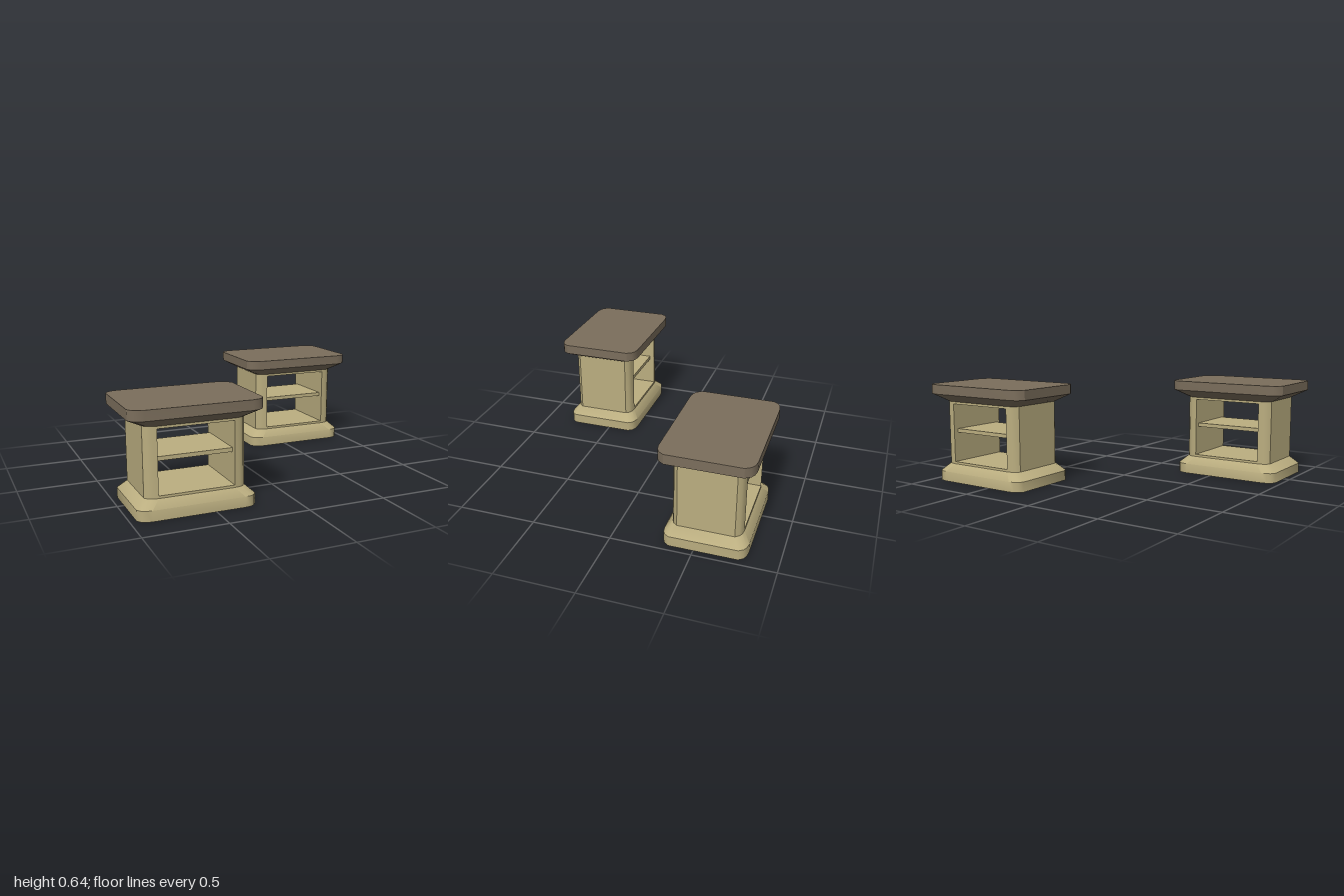
import * as THREE from 'three';
import { toCreasedNormals } from 'three/addons/utils/BufferGeometryUtils.js';

const wood = new THREE.MeshStandardMaterial({ color: 0xbbae80 });
const darkWood = new THREE.MeshStandardMaterial({ color: 0x7b6e5c });

// One rounded corner, as fractions inward from the square corner
const CORNER = [[0, 1], [0.25, 0.4], [0.55, 0.13], [1, 0]];

// Rounded rectangle in x/z, listed from +x toward +z
function outline(hx, hz, cx, cz) {
  const corner = CORNER.map(([u, v]) => [hx - u * cx, hz - v * cz]);
  const back = [...corner].reverse();
  return [
    ...corner,
    ...back.map(([x, z]) => [-x, z]),
    ...corner.map(([x, z]) => [-x, -z]),
    ...back.map(([x, z]) => [x, -z]),
  ];
}

// Solid through stacked outlines; each level is [y, hx, hz, cx, cz]
function loft(levels, crease) {
  const rings = levels.map(([y, ...size]) => outline(...size).map(([x, z]) => [x, y, z]));
  const n = rings[0].length, last = rings.length - 1;
  const pos = [];
  const tri = (a, b, c) => pos.push(...a, ...b, ...c);
  for (let k = 0; k < last; k++) {
    for (let i = 0; i < n; i++) {
      const j = (i + 1) % n, lo = rings[k], hi = rings[k + 1];
      tri(lo[i], hi[i], hi[j]);
      tri(lo[i], hi[j], lo[j]);
    }
  }
  for (let i = 1; i < n - 1; i++) {
    tri(rings[0][0], rings[0][i], rings[0][i + 1]);
    tri(rings[last][0], rings[last][i + 1], rings[last][i]);
  }
  const geo = new THREE.BufferGeometry();
  geo.setAttribute('position', new THREE.Float32BufferAttribute(pos, 3));
  return toCreasedNormals(geo, crease);
}

function add(group, name, geometry, material, x = 0, y = 0, z = 0) {
  const mesh = new THREE.Mesh(geometry, material);
  mesh.name = name;
  mesh.position.set(x, y, z);
  group.add(mesh);
  return mesh;
}

// Upright side wall with rounded outer corners
function sideWall() {
  const pts = outline(0.305, 0.213, 0.075, 0.04)
    .filter(([x]) => x > 0)
    .sort((a, b) => a[1] - b[1]);
  const shape = new THREE.Shape(pts.map(([x, z]) => new THREE.Vector2(x, -z)));
  const geo = new THREE.ExtrudeGeometry(shape, { depth: 0.415, bevelEnabled: false });
  geo.rotateX(-Math.PI / 2);
  return toCreasedNormals(geo, 0.55);
}

function createTable() {
  const table = new THREE.Group();

  // Plinth with sloped shoulder
  add(table, 'base', loft([
    [0, 0.36, 0.255, 0.08, 0.047],
    [0.065, 0.36, 0.255, 0.08, 0.047],
    [0.115, 0.305, 0.213, 0.075, 0.04],
  ], 0.75), wood);

  // Side walls leave the front and back open
  add(table, 'leftWall', sideWall(), wood, 0, 0.115, 0);
  add(table, 'rightWall', sideWall(), wood, 0, 0.115, 0).rotation.y = Math.PI;

  // Floor, ceiling and slightly recessed shelf
  add(table, 'floorPanel', new THREE.BoxGeometry(0.46, 0.015, 0.426), wood, 0, 0.1225, 0);
  add(table, 'ceilingPanel', new THREE.BoxGeometry(0.46, 0.015, 0.426), wood, 0, 0.5225, 0);
  add(table, 'shelf', new THREE.BoxGeometry(0.46, 0.025, 0.36), wood, 0, 0.335, 0);

  // Overhanging top with sloped underside
  add(table, 'tabletop', loft([
    [0.53, 0.305, 0.213, 0.075, 0.04],
    [0.58, 0.4, 0.28, 0.085, 0.055],
    [0.642, 0.4, 0.28, 0.085, 0.055],
  ], 0.55), darkWood);
  return table;
}

export function createModel() {
  const model = new THREE.Group();
  model.name = 'sideTables';
  for (const side of [1, -1]) {
    const table = createTable();
    table.name = side > 0 ? 'leftTable' : 'rightTable';
    table.position.set(0.6 * side, 0, -0.557 * side);
    model.add(table);
  }
  return model;
}
